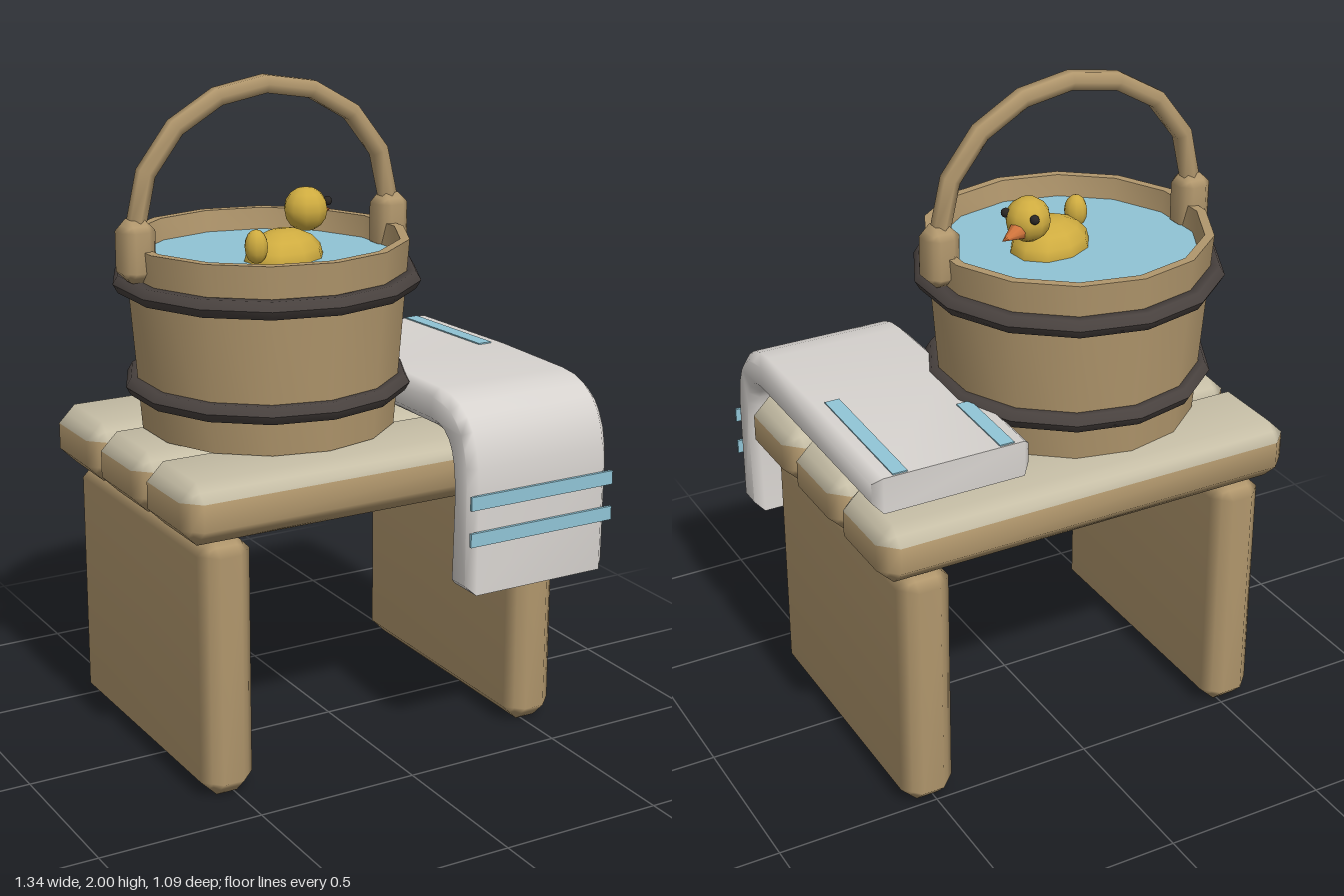
import * as THREE from 'three';
import { mergeVertices, toCreasedNormals } from 'three/addons/utils/BufferGeometryUtils.js';

const flat = (name, color) => {
  const m = new THREE.MeshStandardMaterial({ color });
  m.name = name;
  return m;
};

// Box with chamfered edges and smooth normals; group 1 holds the top face and its bevels
function chamferBox(w, h, d, c) {
  let g = new THREE.BoxGeometry(1, 1, 1, 3, 3, 3);
  const p = g.attributes.position, half = [w / 2, h / 2, d / 2];
  for (let i = 0; i < p.count; i++) {
    const v = [p.getX(i), p.getY(i), p.getZ(i)];
    const outer = v.filter((a) => Math.abs(a) > 0.4).length;
    const q = v.map((a, k) => Math.sign(a) * (half[k] - (Math.abs(a) > 0.4 ? (c * (outer - 1)) / outer : c)));
    p.setXYZ(i, ...q);
  }
  g.deleteAttribute('normal');
  g.deleteAttribute('uv');
  g = mergeVertices(g);
  g.computeVertexNormals();
  const sides = [], top = [], idx = g.index.array, y = (i) => g.attributes.position.getY(i);
  for (let i = 0; i < idx.length; i += 3) {
    const t = [idx[i], idx[i + 1], idx[i + 2]];
    const isTop = t.reduce((s, k) => s + y(k), 0) / 3 > h / 2 - c + 0.001;
    (isTop ? top : sides).push(...t);
  }
  g.setIndex([...sides, ...top]);
  g.clearGroups();
  g.addGroup(0, sides.length, 0);
  g.addGroup(sides.length, top.length, 1);
  return g;
}

export function createModel() {
  const wood = flat('wood', 0xb0966c);
  const paleWood = flat('pale wood', 0xc6bea6);
  const iron = flat('dark hoop', 0x48413e);
  const cloth = flat('towel cloth', 0xdbd7d3);
  const blue = flat('light blue', 0x90c4d5);
  const yellow = flat('yellow', 0xcfac40);
  const orange = flat('orange', 0xd0743c);
  const black = flat('black', 0x2a2725);

  const model = new THREE.Group();
  const add = (name, geo, mat, x = 0, y = 0, z = 0, parent = model) => {
    const m = new THREE.Mesh(geo, mat);
    m.name = name;
    m.position.set(x, y, z);
    parent.add(m);
    return m;
  };

  // Stool: three slats on two plank legs
  const stool = new THREE.Group();
  stool.name = 'stool';
  model.add(stool);
  for (const z of [-0.388, -0.07, 0.248])
    add('seatSlat', chamferBox(1.335, 0.185, 0.312, 0.052), [wood, paleWood], 0, 0.8775, z, stool);
  for (const x of [-0.522, 0.518])
    add('plankLeg', chamferBox(0.165, 0.79, 0.895, 0.05), [wood, wood], x, 0.395, -0.072, stool);

  // Bucket
  const SIDES = 14;
  const bucket = new THREE.Group();
  bucket.name = 'bucket';
  bucket.position.set(-0.165, 0, -0.08);
  model.add(bucket);
  const lathe = (pts) => new THREE.LatheGeometry(pts.map(([r, y]) => new THREE.Vector2(r, y)), SIDES);
  add('bucketBody', toCreasedNormals(lathe([
    [0, 0.972], [0.38, 0.972], [0.423, 1.53], [0.395, 1.53], [0.38, 1.44],
  ]), 0.6), wood, 0, 0, 0, bucket);
  const water = add('water', new THREE.CircleGeometry(0.386, SIDES), blue, 0, 1.465, 0, bucket);
  water.rotation.set(-Math.PI / 2, 0, Math.PI / 2);

  // Iron hoops with a six-sided section
  for (const [r, y] of [[0.428, 1.41], [0.397, 1.1]]) {
    const ring = [];
    for (let i = 0; i <= 6; i++) {
      const a = (i * Math.PI) / 3;
      ring.push([r + 0.03 * Math.cos(a), y + 0.03 * Math.sin(a)]);
    }
    add('hoop', lathe(ring), iron, 0, 0, 0, bucket);
  }

  // Handle ears and arched handle
  for (const s of [-1, 1])
    add('handleEar', chamferBox(0.106, 0.18, 0.106, 0.032), [wood, wood], s * 0.417, 1.527, 0, bucket);
  class Arch extends THREE.Curve {
    getPoint(t, target = new THREE.Vector3()) {
      const a = Math.PI * (1 - t);
      return target.set(0.415 * Math.cos(a), 1.595 + 0.375 * Math.sin(a), 0);
    }
  }
  add('handle', new THREE.TubeGeometry(new Arch(), 8, 0.03, 6), wood, 0, 0, 0, bucket);

  // Floating toy duck
  const duck = new THREE.Group();
  duck.name = 'toyDuck';
  duck.position.set(-0.125, 1.46, -0.045);
  duck.rotation.y = 0.49;
  model.add(duck);
  const ball = (name, mat, x, y, z, rx, ry, rz) =>
    add(name, new THREE.SphereGeometry(1, 10, 8), mat, x, y, z, duck).scale.set(rx, ry, rz);
  ball('duckBody', yellow, 0, 0, 0, 0.14, 0.09, 0.11);
  ball('duckHead', yellow, 0.118, 0.128, 0, 0.068, 0.066, 0.066);
  ball('duckTail', yellow, -0.142, 0.062, 0, 0.035, 0.05, 0.035);
  for (const s of [-1, 1]) ball('duckEye', black, 0.16, 0.15, s * 0.049, 0.014, 0.014, 0.014);
  const beak = add('duckBeak', new THREE.ConeGeometry(0.031, 0.09, 8), orange, 0.207, 0.108, 0, duck);
  beak.rotation.z = -Math.PI / 2 - 0.06;

  // Towel: side profile (z, y) extruded across its width
  const profile = new THREE.Shape();
  profile.moveTo(-0.465, 0.99);
  profile.lineTo(0.31, 1.0);
  profile.bezierCurveTo(0.4, 1.0, 0.42, 0.95, 0.424, 0.82);
  profile.lineTo(0.415, 0.54);
  profile.lineTo(0.533, 0.54);
  profile.lineTo(0.535, 0.86);
  profile.bezierCurveTo(0.535, 1.02, 0.47, 1.115, 0.32, 1.115);
  profile.lineTo(0, 1.115);
  profile.lineTo(-0.465, 1.1);
  profile.closePath();
  const bevel = 0.025;
  const towelGeo = new THREE.ExtrudeGeometry(profile, {
    depth: 0.485 - 2 * bevel, curveSegments: 7, bevelEnabled: true,
    bevelThickness: bevel, bevelSize: bevel, bevelOffset: -bevel, bevelSegments: 1,
  });
  const towel = add('towel', toCreasedNormals(towelGeo, 0.9), cloth, 0.65 - bevel, 0, 0);
  towel.rotation.y = -Math.PI / 2;

  // Towel stripes: two across the hanging end, two along the top
  for (const y of [0.828, 0.717])
    add('frontStripe', new THREE.BoxGeometry(0.495, 0.042, 0.009), blue, 0.408, y, 0.54);
  for (const [x, len] of [[0.243, 0.26], [0.572, 0.44]]) {
    const z = -0.46 + len / 2;
    const s = add('topStripe', new THREE.BoxGeometry(0.045, 0.008, len), blue, x, 1.1 + (z + 0.465) * 0.0323, z);
    s.rotation.x = -0.0323;
  }
  return model;
}
